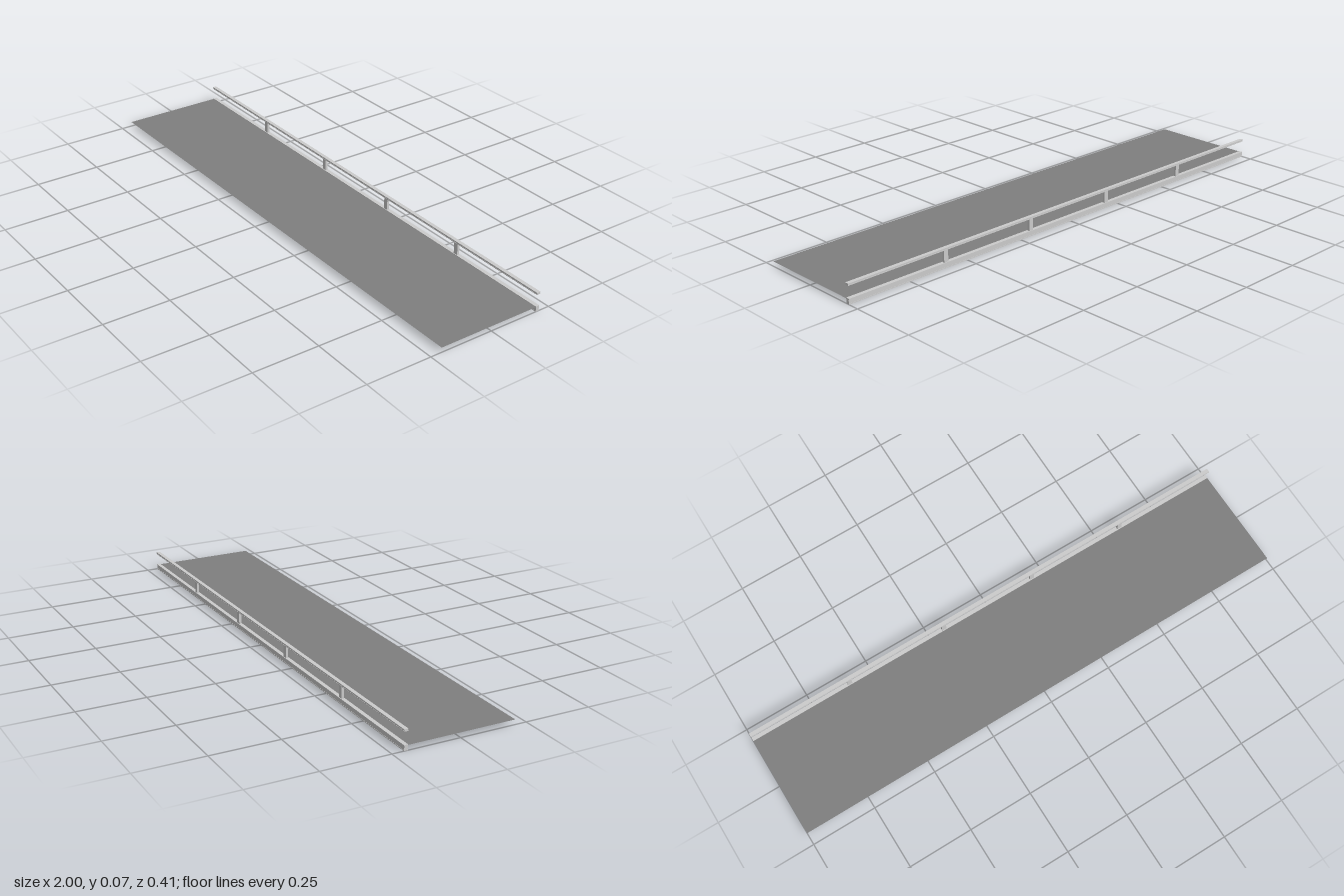
import * as THREE from 'three';

const material = new THREE.MeshStandardMaterial({ color: 0xcccccc, flatShading: true });
const deckMaterial = new THREE.MeshStandardMaterial({ color: 0x7f7f7f, side: THREE.DoubleSide });

const RAIL_Z = -0.2;

// Full-length beam from y0 to y1 with a small lip along its top and bottom edges
function beam(name, y0, y1, lip) {
  const outer = 0.0073;
  const waist = 0.0063;
  const side = [[outer, y0], [outer, y0 + lip], [waist, y0 + lip], [waist, y1 - lip], [outer, y1 - lip], [outer, y1]];
  const mirrored = side.map(([z, y]) => [-z, y]).reverse();
  const profile = new THREE.Shape([...side, ...mirrored].map(([z, y]) => new THREE.Vector2(z, y)));
  const geometry = new THREE.ExtrudeGeometry(profile, { depth: 2, bevelEnabled: false });
  geometry.translate(0, 0, -1).rotateY(Math.PI / 2);
  const mesh = new THREE.Mesh(geometry, material);
  mesh.name = name;
  mesh.position.z = RAIL_Z;
  return mesh;
}

export function createModel() {
  const model = new THREE.Group();
  model.name = 'walkway';

  // Thin dark deck sheet, reaching from the kerb to the open front edge
  const deck = new THREE.Mesh(new THREE.PlaneGeometry(2, 0.407).rotateX(-Math.PI / 2), deckMaterial);
  deck.name = 'deck';
  deck.position.set(0, 0.018, 0.0035);
  model.add(deck);

  // Kerb and handrail along the back edge
  model.add(beam('kerb', 0, 0.02, 0.003), beam('handrail', 0.065, 0.073, 0.002));

  // Posts between kerb and handrail
  for (const x of [-0.594, -0.19, 0.197, 0.592]) {
    const post = new THREE.Mesh(new THREE.BoxGeometry(0.018, 0.052, 0.009), material);
    post.name = 'post';
    post.position.set(x, 0.041, RAIL_Z);
    model.add(post);
  }

  return model;
}
